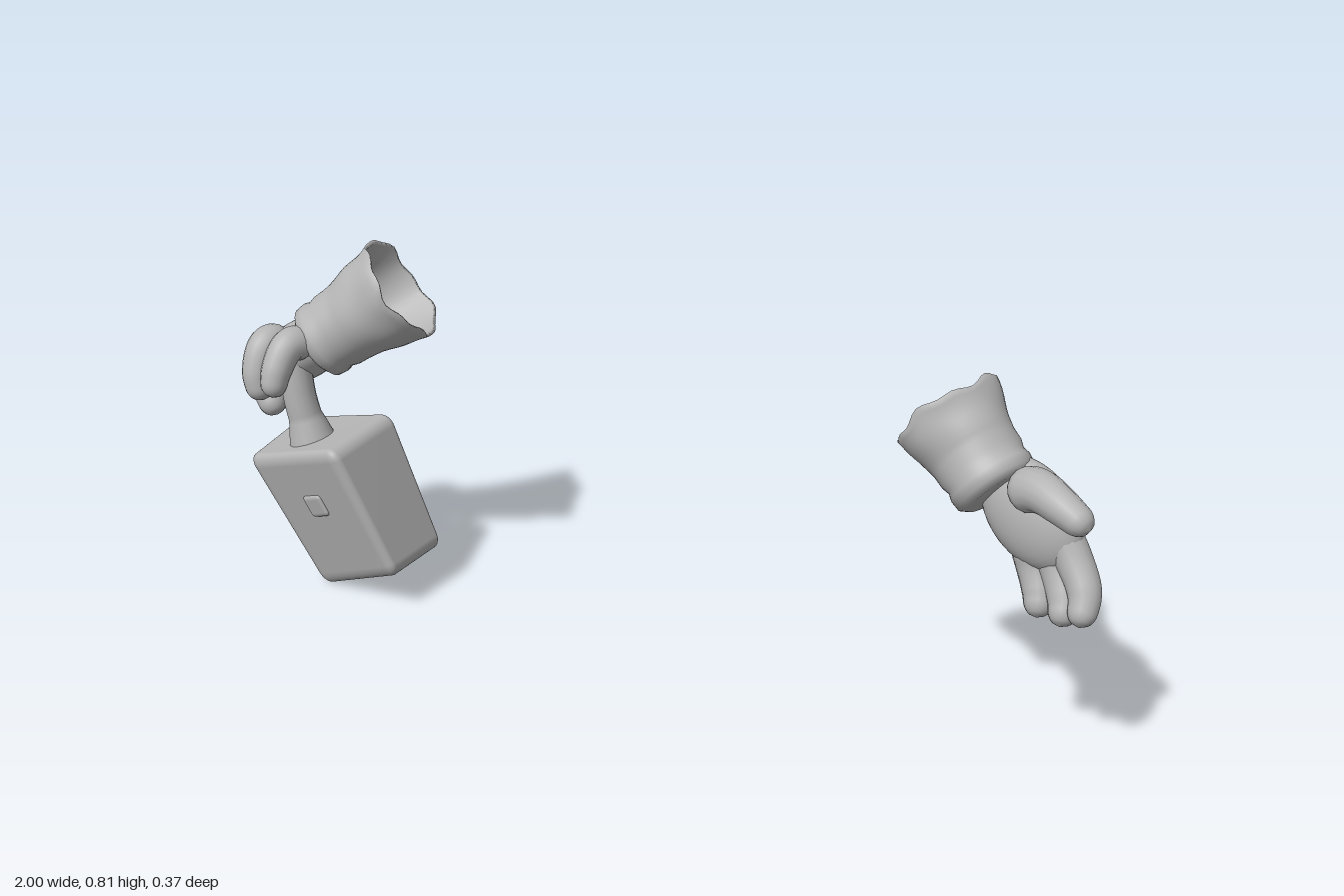
import * as THREE from 'three';
import { mergeVertices } from 'three/addons/utils/BufferGeometryUtils.js';
import { RoundedBoxGeometry } from 'three/addons/geometries/RoundedBoxGeometry.js';

const grey = new THREE.MeshStandardMaterial({ color: 0xb4b4b4, side: THREE.DoubleSide });
grey.name = 'plain grey';

const V = (a) => new THREE.Vector3(...a);

// Weld seams and smooth the normals.
function smooth(geometry) {
  geometry.deleteAttribute('uv');
  geometry.deleteAttribute('normal');
  const g = mergeVertices(geometry, 1e-5);
  g.computeVertexNormals();
  return g;
}

function add(parent, name, geometry) {
  const mesh = new THREE.Mesh(geometry, grey);
  mesh.name = name;
  parent.add(mesh);
  return mesh;
}

// Round-ended tube whose radius follows a list.
function limb(points, radii) {
  const curve = new THREE.CatmullRomCurve3(points.map(V));
  const steps = 40, sides = 16, length = curve.getLength();
  const g = new THREE.TubeGeometry(curve, steps, 1, sides);
  const pos = g.attributes.position, p = new THREE.Vector3();
  for (let i = 0; i < pos.count; i++) {
    const t = Math.floor(i / (sides + 1)) / steps;
    const k = t * (radii.length - 1), j = Math.min(Math.floor(k), radii.length - 2);
    let r = THREE.MathUtils.lerp(radii[j], radii[j + 1], k - j);
    const d = Math.min(t, 1 - t) * length;
    if (d < r) r = Math.sqrt(Math.max(r * r - (r - d) ** 2, 1e-8));
    const c = curve.getPointAt(t);
    p.fromBufferAttribute(pos, i).sub(c).multiplyScalar(r).add(c);
    pos.setXYZ(i, p.x, p.y, p.z);
  }
  return smooth(g);
}

// Ellipsoid aligned to a long axis and an approximate width axis.
function palm(center, along, across, radii) {
  const x = V(along).normalize();
  const z = x.clone().cross(V(across)).normalize();
  const y = z.clone().cross(x);
  const m = new THREE.Matrix4().makeBasis(x, y, z).setPosition(V(center));
  return new THREE.SphereGeometry(1, 32, 20).scale(...radii).applyMatrix4(m);
}

// Flared, wrinkled sleeve end, open and hollow at the wide end.
function sleeve(wrist, opening, r0, r1, phase) {
  const axis = V(opening).sub(V(wrist)), L = axis.length();
  const profile = [
    [0.3 * r0, -0.02], [0.85 * r0, -0.02], [1.04 * r0, -0.008], [1.08 * r0, 0.012],
    [r0 * 1.02, 0.028], [r0 * 1.07, 0.045], [r0 * 1.08, 0.07],
  ].map(([r, y]) => new THREE.Vector2(r, y));
  for (let i = 1; i <= 8; i++) {
    const t = i / 8;
    profile.push(new THREE.Vector2(THREE.MathUtils.lerp(r0 * 1.08, r1, t), 0.07 + (L - 0.07) * t));
  }
  for (const t of [0.99, 0.8, 0.55, 0.3]) {
    profile.push(new THREE.Vector2(THREE.MathUtils.lerp(r0, r1, t) - 0.008, L * t));
  }
  const g = new THREE.LatheGeometry(profile, 48);
  const pos = g.attributes.position;
  for (let i = 0; i < pos.count; i++) {
    const x = pos.getX(i), y = pos.getY(i), z = pos.getZ(i);
    const a = Math.atan2(z, x), t = Math.max(0, y / L);
    const s = 1 + 0.018 * t * Math.sin(3 * a + y * 45 + phase) + 0.012 * Math.sin(2 * a - y * 70);
    const rag = t ** 4 * (0.006 * Math.sin(4 * a + phase) + 0.004 * Math.sin(9 * a));
    pos.setXYZ(i, x * s, y + rag, z * s);
  }
  g.applyQuaternion(new THREE.Quaternion().setFromUnitVectors(new THREE.Vector3(0, 1, 0), axis.normalize()));
  g.translate(...wrist);
  return smooth(g);
}

// Block corners: [left/right][bottom/top][back/front].
const corners = [
  [[[-0.84, 0.01, -0.095], [-0.84, -0.006, 0.06]], [[-0.992, 0.345, -0.08], [-0.982, 0.315, 0.135]]],
  [[[-0.592, 0.1, -0.082], [-0.592, 0.095, 0.108]], [[-0.704, 0.416, -0.06], [-0.704, 0.4, 0.172]]],
];

// Bend a unit-cube geometry into the tapered, tilted block.
function bendToBlock(g) {
  const pos = g.attributes.position;
  for (let i = 0; i < pos.count; i++) {
    const f = [pos.getX(i) + 0.5, pos.getY(i) + 0.5, pos.getZ(i) + 0.5];
    const out = new THREE.Vector3();
    for (let a = 0; a < 2; a++) for (let b = 0; b < 2; b++) for (let c = 0; c < 2; c++) {
      const w = (a ? f[0] : 1 - f[0]) * (b ? f[1] : 1 - f[1]) * (c ? f[2] : 1 - f[2]);
      out.addScaledVector(V(corners[a][b][c]), w);
    }
    pos.setXYZ(i, out.x, out.y, out.z);
  }
  return smooth(g);
}

function group(parent, name) {
  const g = new THREE.Group();
  g.name = name;
  parent.add(g);
  return g;
}

export function createModel() {
  const model = new THREE.Group();
  model.name = 'glovedHandsWithBlock';

  // Block with a small raised pad on the front and back, and a flared handle
  const block = group(model, 'handledBlock');
  add(block, 'blockBody', bendToBlock(new RoundedBoxGeometry(1, 1, 1, 5, 0.09)));
  for (const side of [-1, 1]) {
    const pad = new RoundedBoxGeometry(0.2, 0.16, 0.06, 4, 0.03);
    pad.translate(0, 0.1, side * 0.5);
    add(block, side > 0 ? 'frontPad' : 'backPad', bendToBlock(pad));
  }
  add(block, 'handle', limb(
    [[-0.835, 0.31, 0.055], [-0.85, 0.38, 0.06], [-0.868, 0.46, 0.065], [-0.885, 0.58, 0.06]],
    [0.07, 0.052, 0.038, 0.037, 0.037, 0.037]));

  // Right hand, gripping the handle
  const right = group(model, 'rightHand');
  add(right, 'rightSleeve', sleeve([-0.835, 0.588, 0.015], [-0.668, 0.715, -0.065], 0.083, 0.122, 0));
  add(right, 'rightPalm', palm([-0.89, 0.555, 0.01], [-0.16, -0.11, 0.03], [0, 0, 1], [0.115, 0.088, 0.068]));
  const grip = [[-0.05, 0], [0.0, 0.004], [0.05, 0.0]];
  grip.forEach(([z, dx], i) => add(right, 'rightFinger' + (i + 1), limb(
    [[-0.925, 0.585, z], [-0.962 - dx, 0.53, z + 0.01], [-0.958 - dx, 0.47, z + 0.02], [-0.92, 0.415, z + 0.035]],
    [0.04, 0.037, 0.034, 0.029])));
  add(right, 'rightIndexFinger', limb(
    [[-0.9, 0.59, 0.06], [-0.915, 0.595, 0.11], [-0.918, 0.54, 0.145], [-0.905, 0.475, 0.15]],
    [0.04, 0.038, 0.034, 0.028]));
  add(right, 'rightThumb', limb(
    [[-0.84, 0.59, 0.05], [-0.855, 0.6, 0.105], [-0.862, 0.555, 0.145], [-0.862, 0.495, 0.168]],
    [0.042, 0.038, 0.034, 0.026]));

  // Left hand, open with the palm forward
  const left = group(model, 'leftHand');
  add(left, 'leftSleeve', sleeve([0.755, 0.572, -0.025], [0.632, 0.682, -0.07], 0.083, 0.116, 2));
  add(left, 'leftPalm', palm([0.835, 0.525, -0.028], [0.15, -0.14, 0.03], [0.68, 0.73, 0], [0.125, 0.09, 0.056]));
  const fingers = [
    [[0.88, 0.52, -0.025], [0.93, 0.455, -0.012], [0.965, 0.4, 0.012], [0.97, 0.345, 0.045]],
    [[0.865, 0.49, -0.03], [0.9, 0.425, -0.018], [0.925, 0.37, 0.008], [0.928, 0.332, 0.035]],
    [[0.83, 0.475, -0.03], [0.85, 0.42, -0.025], [0.87, 0.37, -0.005], [0.876, 0.332, 0.02]],
  ];
  fingers.forEach((points, i) => add(left, 'leftFinger' + (i + 1), limb(points, [0.042, 0.038, 0.034, 0.026])));
  add(left, 'leftThumb', limb(
    [[0.81, 0.575, -0.01], [0.865, 0.598, 0.025], [0.92, 0.59, 0.055], [0.985, 0.562, 0.075]],
    [0.05, 0.043, 0.036, 0.027]));

  return model;
}
